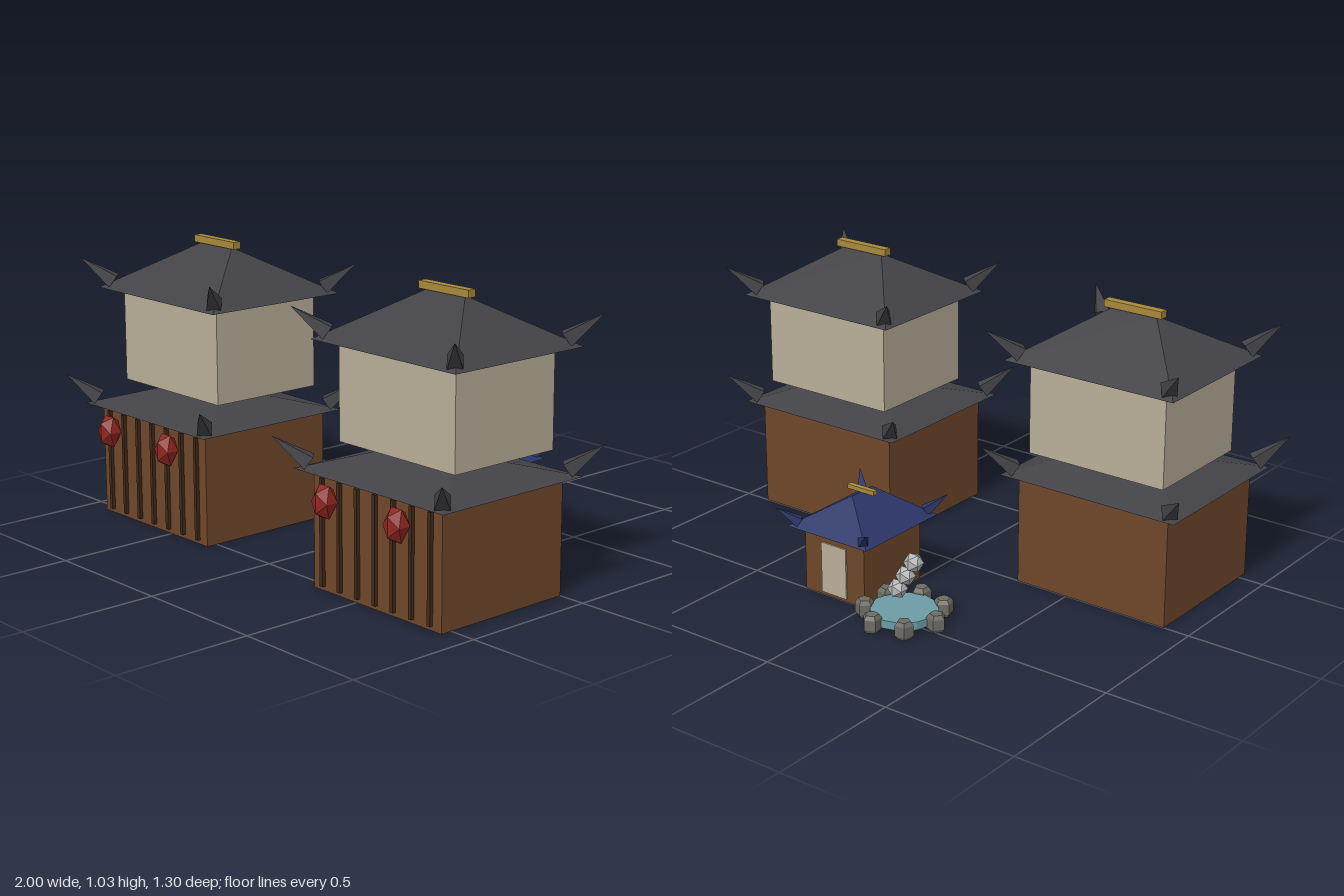
import * as THREE from 'three';

const flat = (name, color) => {
  const m = new THREE.MeshStandardMaterial({ color });
  m.name = name;
  m.flatShading = true;
  return m;
};
const wood = flat('brown wood', 0x6f472a);
const slatWood = flat('dark wood', 0x40291a);
const plaster = flat('cream plaster', 0xb8ae98);
const slate = flat('dark slate', 0x434247);
const navy = flat('navy tile', 0x2b3568);
const gold = flat('gold', 0xa88a3a);
const red = flat('lantern red', 0x8f2620);
const rock = flat('grey rock', 0x6e6c64);
const vapour = flat('pale steam', 0xb8b8b8);
const water = flat('pool water', 0x6c9ba6);

function add(parent, name, geometry, material, x = 0, y = 0, z = 0) {
  const mesh = new THREE.Mesh(geometry, material);
  mesh.name = name;
  mesh.position.set(x, y, z);
  parent.add(mesh);
  return mesh;
}

// Box standing on height y
function block(parent, name, w, h, d, material, x, y, z) {
  return add(parent, name, new THREE.BoxGeometry(w, h, d), material, x, y + h / 2, z);
}

// Hipped roof: a box whose top is drawn in to a ridge line
function hipGeometry(halfX, halfZ, h, ridgeX, ridgeZ) {
  const box = new THREE.BoxGeometry(2, h, 2);
  const p = box.attributes.position;
  for (let i = 0; i < p.count; i++) {
    const top = p.getY(i) > 0;
    p.setX(i, p.getX(i) * (top ? ridgeX : halfX));
    p.setZ(i, p.getZ(i) * (top ? ridgeZ : halfZ));
  }
  const g = box.toNonIndexed();
  g.computeVertexNormals();
  return g.translate(0, h / 2, 0);
}

// Roof with four upswept corner horns
function roof(parent, name, o) {
  const g = new THREE.Group();
  g.name = name;
  g.position.set(o.x, o.y, o.z);
  add(g, 'hippedRoof', hipGeometry(o.halfX, o.halfZ, o.h, o.ridgeX, o.ridgeZ), o.material);
  const up = new THREE.Vector3(0, 1, 0);
  for (const sx of [-1, 1]) for (const sz of [-1, 1]) {
    const dir = new THREE.Vector3(sx, 1, sz).normalize();
    const tip = new THREE.Vector3(sx * o.tip[0], o.tip[1], sz * o.tip[2]);
    const centre = tip.addScaledVector(dir, -o.hornLength / 2);
    const horn = add(g, 'cornerHorn', new THREE.ConeGeometry(o.hornRadius, o.hornLength, 4), o.material);
    horn.position.copy(centre);
    horn.quaternion.setFromUnitVectors(up, dir);
  }
  parent.add(g);
  return g;
}

// Two-storey house with slatted front and hanging lanterns
function house(x) {
  const g = new THREE.Group();
  g.name = 'house';
  g.position.x = x;
  block(g, 'lowerStorey', 0.61, 0.41, 0.542, wood, 0, 0, 0.271);
  for (let i = -3; i <= 3; i++) {
    block(g, 'frontSlat', 0.014, 0.375, 0.014, slatWood, i * 0.0858, 0.016, 0.548);
  }
  for (const s of [-1, 1]) {
    const lantern = add(g, 'lantern', new THREE.IcosahedronGeometry(0.045), red, s * 0.171, 0.341, 0.612);
    lantern.scale.y = 1.45;
  }
  roof(g, 'lowerRoof', {
    x: 0, y: 0.41, z: 0.271, halfX: 0.355, halfZ: 0.317, h: 0.084, ridgeX: 0.088, ridgeZ: 0,
    tip: [0.402, 0.11, 0.368], hornLength: 0.15, hornRadius: 0.036, material: slate,
  });
  block(g, 'upperStorey', 0.545, 0.344, 0.444, plaster, 0, 0.494, 0.236);
  roof(g, 'upperRoof', {
    x: 0, y: 0.838, z: 0.236, halfX: 0.338, halfZ: 0.288, h: 0.168, ridgeX: 0.085, ridgeZ: 0,
    tip: [0.383, 0.112, 0.336], hornLength: 0.15, hornRadius: 0.036, material: slate,
  });
  block(g, 'ridgeBeam', 0.23, 0.026, 0.032, gold, 0, 1.004, 0.236);
  return g;
}

// Small bath house with its door at the back
function bathHouse() {
  const g = new THREE.Group();
  g.name = 'bathHouse';
  g.position.set(0.131, 0, -0.346);
  block(g, 'bathHouseWalls', 0.265, 0.245, 0.31, wood, 0, 0, 0);
  block(g, 'door', 0.11, 0.19, 0.008, plaster, 0, 0.012, -0.157);
  roof(g, 'bathHouseRoof', {
    x: 0, y: 0.243, z: 0, halfX: 0.178, halfZ: 0.197, h: 0.111, ridgeX: 0, ridgeZ: 0.055,
    tip: [0.202, 0.074, 0.229], hornLength: 0.1, hornRadius: 0.024, material: navy,
  });
  block(g, 'bathHouseRidge', 0.118, 0.016, 0.02, gold, 0, 0.353, 0);
  return g;
}

// Round pool ringed by seven stones, with rising steam
function pool() {
  const g = new THREE.Group();
  g.name = 'hotSpring';
  g.position.set(-0.163, 0, -0.484);
  add(g, 'poolWater', new THREE.CylinderGeometry(0.12, 0.12, 0.03, 12), water, 0, 0.03, 0);
  const profile = [[0, 0], [0.024, 0], [0.034, 0.014], [0.034, 0.051], [0.024, 0.065], [0, 0.065]]
    .map(([r, y]) => new THREE.Vector2(r, y));
  for (let i = 0; i < 7; i++) {
    const a = Math.PI + (i * Math.PI * 2) / 7;
    const stone = add(g, 'poolStone', new THREE.LatheGeometry(profile, 5), rock,
      Math.cos(a) * 0.139, 0, Math.sin(a) * 0.139);
    stone.rotation.y = Math.PI / 2 - a;
  }
  for (let i = 0; i < 3; i++) {
    add(g, 'steamPuff', new THREE.IcosahedronGeometry(0.036), vapour, 0.027 - i * 0.035, 0.11 + i * 0.058, 0);
  }
  return g;
}

export function createModel() {
  const model = new THREE.Group();
  model.name = 'bathVillage';
  model.add(house(-0.597), house(0.595), bathHouse(), pool());
  return model;
}
